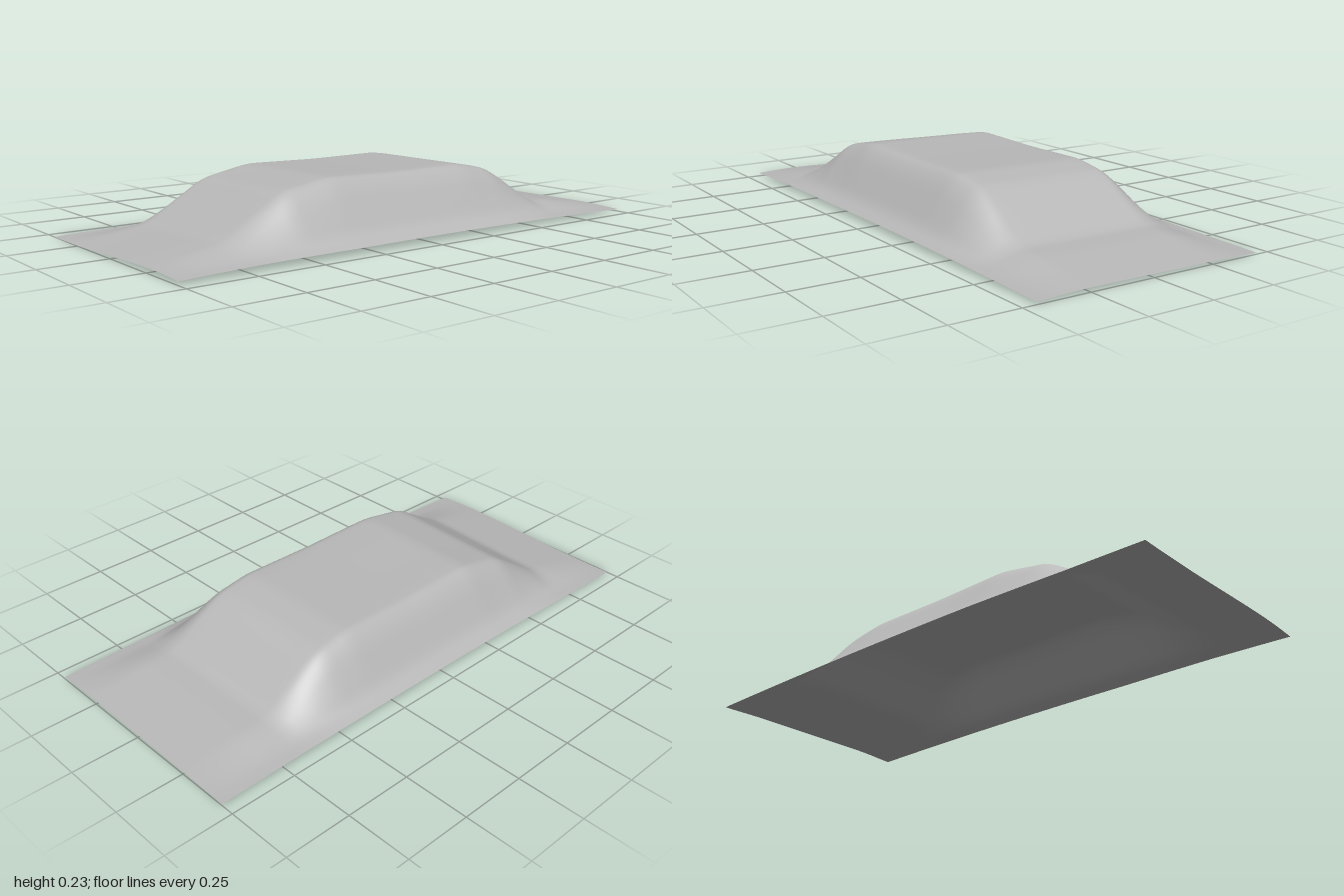
import * as THREE from 'three';

// Piecewise-linear profile through [position, value] knots
function linear(knots, t) {
  if (t <= knots[0][0]) return knots[0][1];
  for (let i = 1; i < knots.length; i++) {
    const [a, va] = knots[i - 1], [b, vb] = knots[i];
    if (t <= b) return va + (vb - va) * (t - a) / (b - a);
  }
  return knots[knots.length - 1][1];
}

// The same profile with its corners rounded off over a radius r
function soft(knots, t, r) {
  const start = knots[0][0], end = knots[knots.length - 1][0];
  const reach = Math.min(r, t - start, end - t);
  let sum = 0;
  for (let i = -4; i <= 4; i++) sum += linear(knots, t + reach * i / 4);
  return sum / 9;
}

// Height of the ridge from back (-z) to front (+z)
const LENGTHWISE = [
  [-1, 0.015], [-0.77, 0.05], [-0.66, 0.058], [-0.5, 0.167], [-0.43, 0.206],
  [-0.3, 0.23], [0, 0.228], [0.31, 0.235], [0.5, 0.2], [0.73, 0.056], [0.8, 0.045], [1, 0.012],
];
// Share of the ridge height from the centre out to the side edge
const CROSSWISE = [[-0.45, 0], [-0.4, 0.13], [-0.31, 0.79], [-0.268, 0.99], [-0.22, 1],
  [0.22, 1], [0.268, 0.99], [0.31, 0.79], [0.4, 0.13], [0.45, 0]];
// Sideways lean, stronger at the front
const LEAN = [[-1, 0.012], [0.3, 0.015], [0.7, 0.045], [1, 0.04]];

function height(x, z) {
  const rim = 0.013 - 0.02 * x * x + 0.014 * (1 - z * z);
  const ridge = soft(LENGTHWISE, z, 0.03);
  const lean = linear(LEAN, z) * x * (1 - 3.3 * x * x);
  return THREE.MathUtils.lerp(rim, ridge, soft(CROSSWISE, x, 0.018)) + lean;
}

export function createModel() {
  const group = new THREE.Group();
  group.name = 'mouldedPanel';

  const grey = new THREE.MeshStandardMaterial({ color: 0xb8b8b8, side: THREE.DoubleSide });
  grey.name = 'grey';

  // Thin sheet pressed into a long raised hump with a flat rim
  const geometry = new THREE.PlaneGeometry(0.9, 2, 90, 160).rotateX(-Math.PI / 2);
  const p = geometry.attributes.position;
  for (let i = 0; i < p.count; i++) p.setY(i, height(p.getX(i), p.getZ(i)));
  geometry.computeVertexNormals();

  const sheet = new THREE.Mesh(geometry, grey);
  sheet.name = 'raisedSheet';
  group.add(sheet);
  return group;
}
